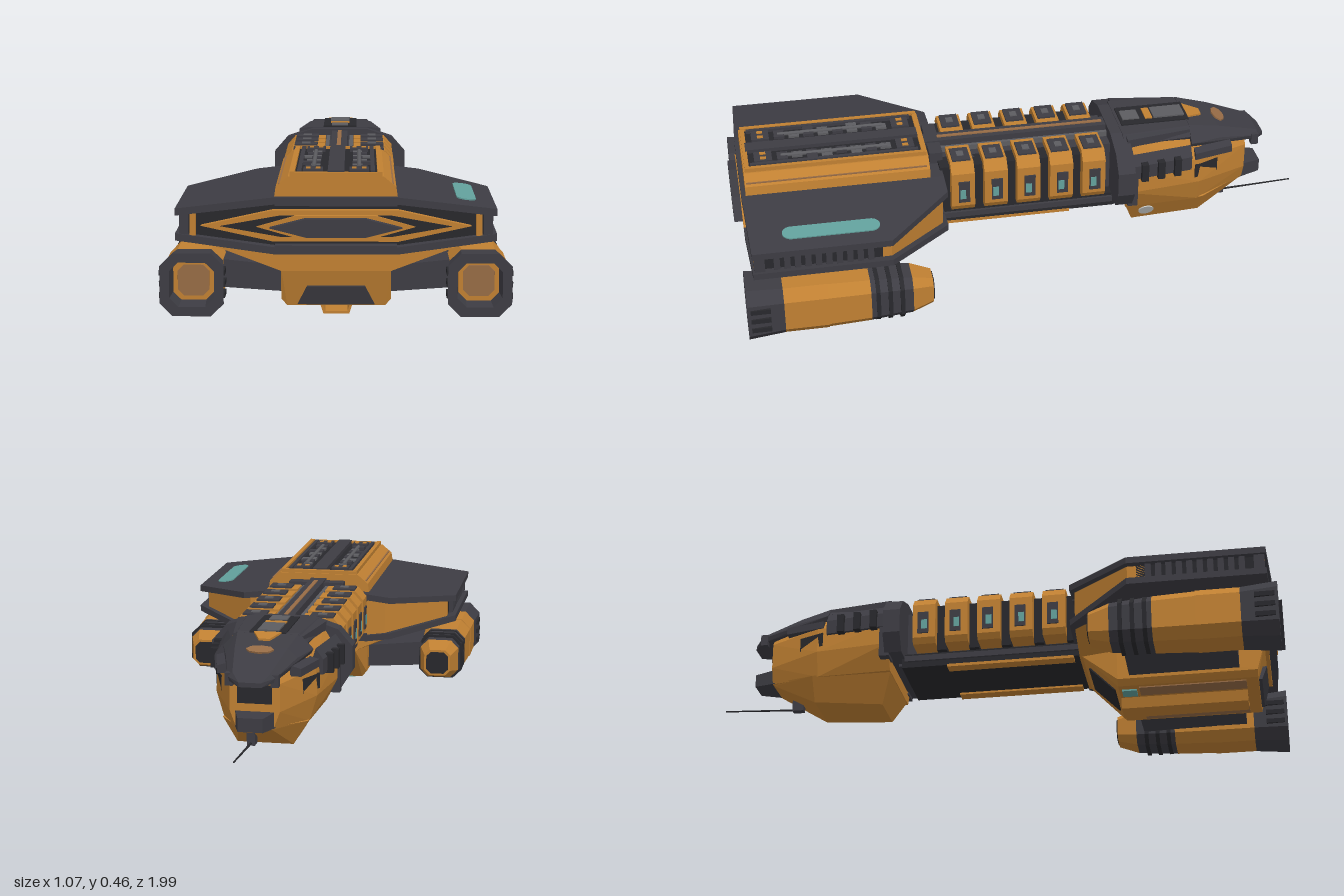
import * as THREE from 'three';
import { ConvexGeometry } from 'three/addons/geometries/ConvexGeometry.js';

const paint = (name, color) => {
  const m = new THREE.MeshStandardMaterial({ color });
  m.name = name;
  return m;
};

export function createModel() {
  const root = new THREE.Group();
  root.name = 'ship';
  const orange = paint('orange', 0xc08032);
  const dark = paint('charcoal', 0x3d3c43);
  const black = paint('black', 0x28282c);
  const grey = paint('grey', 0x5c5c60);
  const rust = paint('rust', 0x966b45);
  const teal = paint('teal', 0x62a09c);
  const white = paint('white', 0xc4c6c4);

  const group = (name, parent = root) => {
    const g = new THREE.Group();
    g.name = name;
    parent.add(g);
    return g;
  };
  const add = (parent, name, geo, mat) => {
    const m = new THREE.Mesh(geo, mat);
    m.name = name;
    parent.add(m);
    return m;
  };
  // box given by its bounds
  const box = (p, name, mat, x0, x1, y0, y1, z0, z1) => {
    const m = add(p, name, new THREE.BoxGeometry(Math.abs(x1 - x0), y1 - y0, Math.abs(z1 - z0)), mat);
    m.position.set((x0 + x1) / 2, (y0 + y1) / 2, (z0 + z1) / 2);
    return m;
  };
  const hull = (p, name, mat, pts) =>
    add(p, name, new ConvexGeometry(pts.map(a => new THREE.Vector3(...a))), mat);
  // convex body from half profiles [z, [[x, y], ...]] mirrored in x
  const body = (p, name, mat, sections) =>
    hull(p, name, mat, sections.flatMap(([z, prof]) => prof.flatMap(([x, y]) => [[x, y, z], [-x, y, z]])));
  const sides = [1, -1];
  const octagon = (r, c = r * 0.4) =>
    [[r, c - r], [r, r - c], [r - c, r], [c - r, r], [-r, r - c], [-r, c - r], [c - r, -r], [r - c, -r]];

  // ---- wide rear section: two thin plates around a core
  const wing = group('rearWing');
  const outline = [[0.185, 0.285], [0.27, 0.285], [0.487, 0.5], [0.487, 0.955], [0.185, 0.965]];
  const upper = x => 0.38 - 0.12 * (x - 0.185);
  const lower = x => 0.205 + 0.135 * (x - 0.185);
  box(wing, 'upperPlateCentre', dark, -0.185, 0.185, 0.353, 0.38, 0.285, 0.965);
  box(wing, 'lowerPlateCentre', dark, -0.185, 0.185, 0.205, 0.232, 0.285, 0.965);
  for (const s of sides) {
    hull(wing, 'upperPlate', dark, outline.flatMap(([x, z]) => [[s * x, upper(x), z], [s * x, upper(x) - 0.022, z]]));
    hull(wing, 'lowerPlate', dark, outline.flatMap(([x, z]) => [[s * x, lower(x), z], [s * x, lower(x) + 0.022, z]]));
    // side vents, corner posts and pillars
    box(wing, 'sideVent', black, s * 0.4, s * 0.455, 0.25, 0.335, 0.53, 0.92);
    for (let i = 0; i < 10; i++)
      box(wing, 'ventRib', dark, s * 0.45, s * 0.47, 0.255, 0.33, 0.56 + i * 0.034, 0.58 + i * 0.034);
    box(wing, 'cornerPost', dark, s * 0.447, s * 0.475, 0.25, 0.335, 0.915, 0.95);
    box(wing, 'pillar', orange, s * 0.425, s * 0.443, 0.25, 0.335, 0.91, 0.95);
  }
  body(wing, 'coreFront', orange, [
    [0.3, [[0.25, 0.225], [0.25, 0.36]]],
    [0.5, [[0.455, 0.25], [0.455, 0.335]]],
    [0.56, [[0.455, 0.25], [0.455, 0.335]]]]);
  body(wing, 'coreRear', black, [0.55, 0.925].map(z => [z, [[0.43, 0.25], [0.43, 0.335], [0.18, 0.22], [0.18, 0.36]]]));
  const hex = (x, x1, h) => [[x, 0.29], [x1, 0.29 + h], [x1, 0.29 - h]];
  body(wing, 'rearFrame', orange, [0.92, 0.95].map(z => [z, hex(0.41, 0.19, 0.048)]));
  body(wing, 'rearRecess', black, [0.945, 0.957].map(z => [z, hex(0.35, 0.17, 0.032)]));
  body(wing, 'rearInnerFrame', orange, [0.95, 0.967].map(z => [z, hex(0.24, 0.12, 0.034)]));
  body(wing, 'rearCore', dark, [0.95, 0.995].map(z => [z, hex(0.2, 0.09, 0.028)]));
  // painted marking on one wing
  const mark = new THREE.Shape();
  mark.absarc(0, 0.13, 0.03, 0, Math.PI);
  mark.absarc(0, -0.13, 0.03, Math.PI, Math.PI * 2);
  const marking = add(wing, 'wingMarking',
    new THREE.ExtrudeGeometry(mark, { depth: 0.004, bevelEnabled: false }).rotateX(-Math.PI / 2), teal);
  marking.position.set(0.4, upper(0.4), 0.69);
  marking.rotation.z = -Math.atan(0.12);

  // ---- raised deck with machinery
  const deck = group('topDeck');
  body(deck, 'deckHousing', orange, [0.33, 0.95].map(z => [z, [[0.188, 0.37], [0.182, 0.41], [0.145, 0.441]]]));
  box(deck, 'deckFloor', black, -0.125, 0.125, 0.43, 0.445, 0.35, 0.935);
  for (const s of sides) {
    box(deck, 'deckRim', orange, s * 0.125, s * 0.14, 0.435, 0.455, 0.34, 0.945);
    box(deck, 'deckStep', rust, s * 0.155, s * 0.175, 0.405, 0.42, 0.34, 0.945);
    box(deck, 'deckEnd', orange, -0.14, 0.14, 0.435, 0.453, 0.64 + s * 0.305, 0.64 + s * 0.29);
    box(deck, 'rail', dark, s * 0.105, s * 0.118, 0.44, 0.456, 0.36, 0.925);
    for (const z of [0.4, 0.88]) {
      box(deck, 'clampBlock', dark, s * 0.04, s * 0.1, 0.44, 0.457, z - 0.03, z + 0.03);
      for (const d of [-0.015, 0.015])
        box(deck, 'clampStud', orange, s * 0.07 + d - 0.007, s * 0.07 + d + 0.007, 0.455, 0.46, z - 0.01, z + 0.01);
    }
    for (let i = 0; i < 8; i++) {
      const z = 0.465 + i * 0.05;
      box(deck, 'machineBlock', i % 2 ? dark : grey, s * 0.05, s * (0.08 + 0.015 * (i % 3)), 0.44, 0.452 + 0.003 * (i % 2), z - 0.018, z + 0.018);
    }
    const pipe = add(deck, 'deckPipe', new THREE.CylinderGeometry(0.007, 0.007, 0.36, 8).rotateX(Math.PI / 2), grey);
    pipe.position.set(s * 0.07, 0.453, 0.64);
  }
  box(deck, 'deckSpine', dark, -0.025, 0.025, 0.44, 0.458, 0.35, 0.935);

  // ---- belly
  const belly = group('belly');
  body(belly, 'bellyShoulder', orange, [
    [0.3, [[0.25, 0.215], [0.13, 0.16]]],
    [0.5, [[0.36, 0.223], [0.168, 0.15]]],
    [0.94, [[0.36, 0.223], [0.168, 0.15]]]]);
  body(belly, 'bellyHull', orange, [
    [0.31, [[0.14, 0.16]]],
    [0.43, [[0.168, 0.16], [0.165, 0.055], [0.148, 0.035]]],
    [0.9, [[0.168, 0.055], [0.15, 0.035]]],
    [0.93, [[0.168, 0.16]]]]);
  hull(belly, 'rearHatch', dark, [[0.088, 0.1, 0.93], [-0.088, 0.1, 0.93], [0.118, 0.04, 0.912], [-0.118, 0.04, 0.912], [0.088, 0.1, 0.85], [-0.088, 0.1, 0.85], [0.118, 0.04, 0.85], [-0.118, 0.04, 0.85]]);
  body(belly, 'frontPanel', black, [[0.325, [[0.09, 0.137]]], [0.41, [[0.09, 0.05]]], [0.345, [[0.09, 0.14]]], [0.43, [[0.09, 0.053]]]]);
  for (const s of sides) box(belly, 'bellyPanel', rust, s * 0.07, s * 0.135, 0.031, 0.036, 0.5, 0.86);
  box(belly, 'bellyMark', teal, -0.12, -0.07, 0.029, 0.036, 0.44, 0.49);
  const skid = new THREE.Shape([[-0.052, 0.036], [-0.04, 0], [0.04, 0], [0.052, 0.036]].map(a => new THREE.Vector2(...a)));
  skid.holes.push(new THREE.Path([[-0.042, 0.03], [-0.034, 0.008], [0.034, 0.008], [0.042, 0.03]].map(a => new THREE.Vector2(...a))));
  add(belly, 'skid', new THREE.ExtrudeGeometry(skid, { depth: 0.43, bevelEnabled: false }), orange).position.z = 0.43;

  // ---- engine pods
  for (const s of sides) {
    const pod = group(s > 0 ? 'leftEngine' : 'rightEngine');
    pod.position.set(s * 0.436, 0.115, 0);
    const tube = (name, mat, z0, r0, z1, r1) =>
      hull(pod, name, mat, [...octagon(r0).map(a => [...a, z0]), ...octagon(r1).map(a => [...a, z1])]);
    const ring = new THREE.Shape(octagon(0.097).map(a => new THREE.Vector2(...a)));
    ring.holes.push(new THREE.Path(octagon(0.068).map(a => new THREE.Vector2(...a))));
    const nozzle = new THREE.ExtrudeGeometry(ring, { depth: 0.12, bevelEnabled: false });
    const pos = nozzle.attributes.position;
    for (let i = 0; i < pos.count; i++) {
      const k = 0.9 + 0.1 * pos.getZ(i) / 0.12;
      pos.setXY(i, pos.getX(i) * k, pos.getY(i) * k);
    }
    nozzle.computeVertexNormals();
    add(pod, 'nozzle', nozzle, dark).position.z = 0.865;
    tube('nozzleGlow', orange, 0.87, 0.064, 0.91, 0.062);
    tube('nozzleCore', rust, 0.9, 0.05, 0.914, 0.048);
    tube('podRear', orange, 0.72, 0.087, 0.87, 0.087);
    tube('podMiddle', orange, 0.58, 0.08, 0.72, 0.085);
    tube('podCollar', dark, 0.44, 0.07, 0.585, 0.08);
    tube('podNose', orange, 0.37, 0.048, 0.44, 0.07);
    tube('podIntake', black, 0.366, 0.04, 0.372, 0.04);
    for (const z of [0.47, 0.51, 0.55]) tube('collarRib', black, z, 0.08, z + 0.014, 0.08);
    for (const t of sides) for (const y of [-0.035, 0, 0.035])
      box(pod, 'nozzleRib', black, t * 0.085, t * 0.1, y - 0.008, y + 0.008, 0.91, 0.975);
    // strut to the belly
    hull(root, 'engineStrut', dark, [0.47, 0.84].flatMap(z =>
      [[s * 0.15, 0.145, z], [s * 0.15, 0.065, z], [s * 0.365, 0.168, z], [s * 0.365, 0.08, z]]));
  }

  // ---- neck with five pairs of cargo modules
  const neck = group('neck');
  box(neck, 'neckCore', dark, -0.1, 0.1, 0.19, 0.39, -0.34, 0.32);
  box(neck, 'neckKeel', black, -0.14, 0.14, 0.165, 0.215, -0.32, 0.31);
  box(neck, 'neckSpine', dark, -0.028, 0.028, 0.38, 0.425, -0.34, 0.33);
  box(neck, 'spineStripe', rust, -0.007, 0.007, 0.42, 0.428, -0.3, 0.28);
  box(neck, 'rearCollar', dark, -0.1, 0.1, 0.2, 0.42, 0.275, 0.32);
  for (const s of sides) {
    box(neck, 'neckPipe', grey, s * 0.035, s * 0.048, 0.38, 0.408, -0.32, 0.3);
    box(neck, 'lowerRail', dark, s * 0.13, s * 0.15, 0.185, 0.205, -0.31, 0.3);
    box(neck, 'keelTrim', orange, s * 0.1, s * 0.142, 0.158, 0.168, -0.16, 0.28);
    for (let i = 0; i < 5; i++) {
      const z = -0.235 + i * 0.1135;
      const m = group('module', neck);
      hull(m, 'moduleShell', orange, [-0.04, 0.04].flatMap(d =>
        [[0.05, 0.235], [0.175, 0.235], [0.188, 0.255], [0.188, 0.38], [0.16, 0.412], [0.05, 0.412]].map(([x, y]) => [s * x, y, z + d])));
      box(m, 'moduleLid', dark, s * 0.075, s * 0.155, 0.41, 0.418, z - 0.031, z + 0.031);
      box(m, 'moduleLatch', grey, s * 0.1, s * 0.13, 0.417, 0.421, z - 0.012, z + 0.012);
      box(m, 'moduleDoor', dark, s * 0.185, s * 0.193, 0.27, 0.35, z - 0.022, z + 0.016);
      box(m, 'moduleScreen', teal, s * 0.19, s * 0.195, 0.285, 0.32, z - 0.008, z + 0.012);
      box(m, 'moduleFrame', black, s * 0.08, s * 0.15, 0.22, 0.39, z + 0.04, z + 0.0735);
    }
  }

  // ---- head
  const head = group('head');
  body(head, 'headBulkhead', dark, [-0.37, -0.31].map(z => [z, [[0.2, 0.2], [0.238, 0.26], [0.238, 0.345], [0.19, 0.4], [0.1, 0.43]]]));
  body(head, 'headHull', orange, [
    [-0.36, [[0.15, 0.155], [0.195, 0.24], [0.195, 0.32], [0.14, 0.41]]],
    [-0.62, [[0.14, 0.155], [0.165, 0.24], [0.16, 0.33], [0.1, 0.41]]],
    [-0.805, [[0.06, 0.175], [0.08, 0.23], [0.08, 0.32], [0.06, 0.35]]]]);
  body(head, 'headRoof', dark, [
    [-0.35, [[0.12, 0.432], [0.14, 0.4], [0.1, 0.35]]],
    [-0.6, [[0.1, 0.432], [0.125, 0.4], [0.1, 0.35]]]]);
  body(head, 'visor', dark, [
    [-0.59, [[0.1, 0.434], [0.148, 0.385], [0.14, 0.37]]],
    [-0.7, [[0.085, 0.41], [0.115, 0.38], [0.11, 0.365]]],
    [-0.85, [[0.06, 0.365], [0.075, 0.35], [0.07, 0.335]]],
    [-0.88, [[0.035, 0.34], [0.035, 0.325]]]]);
  box(head, 'roofChannel', black, -0.06, 0.06, 0.428, 0.436, -0.6, -0.36);
  box(head, 'roofMachine', grey, -0.035, 0.035, 0.43, 0.441, -0.59, -0.48);
  box(head, 'roofStripe', orange, -0.035, 0.035, 0.43, 0.44, -0.475, -0.45);
  box(head, 'roofBlock', grey, -0.03, 0.03, 0.43, 0.44, -0.43, -0.37);
  body(head, 'roofChevron', orange, [[-0.6, [[0.045, 0.432], [0.045, 0.438]]], [-0.655, [[0.018, 0.42], [0.018, 0.427]]]]);
  const badge = add(head, 'visorPanel', new THREE.CylinderGeometry(0.045, 0.045, 0.006, 8), rust);
  badge.scale.z = 0.5;
  badge.position.set(0, 0.407, -0.72);
  badge.rotation.x = -0.28;
  for (const s of sides) {
    // upper side armour with gaps showing the hull
    hull(head, 'sideArmour', dark, [[-0.36, 0.208], [-0.585, 0.178]].flatMap(([z, x]) =>
      [[s * x, 0.3, z], [s * x, 0.35, z], [s * (x - 0.025), 0.385, z], [s * (x - 0.05), 0.3, z]]));
    for (const z of [-0.41, -0.47, -0.53])
      box(head, 'armourRib', black, s * 0.15, s * (0.225 + (z + 0.36) * 0.13), 0.295, 0.36, z - 0.012, z + 0.012);
    hull(head, 'sideStripe', dark, [[-0.36, 0.15], [-0.59, 0.115]].flatMap(([z, x]) =>
      [[s * x, 0.425, z], [s * (x - 0.04), 0.432, z], [s * x, 0.38, z], [s * (x - 0.04), 0.38, z]]));
    hull(head, 'cheekFin', dark, [[-0.6, 0.168], [-0.74, 0.135]].flatMap(([z, x]) =>
      [[s * x, 0.33, z], [s * x, 0.355, z], [s * (x - 0.035), 0.33, z], [s * (x - 0.035), 0.365, z]]));
    hull(head, 'sideWindow', black, [[-0.6, 0.17], [-0.69, 0.133]].flatMap(([z, x]) =>
      [[s * x, 0.26, z], [s * x, 0.31, z], [s * (x - 0.02), 0.26, z], [s * (x - 0.02), 0.31, z]]));
    box(head, 'noseClaw', dark, s * 0.06, s * 0.085, 0.32, 0.36, -0.85, -0.825);
    box(head, 'lowerSideBlock', dark, s * 0.14, s * 0.2, 0.19, 0.3, -0.39, -0.355);
  }
  box(head, 'windscreen', black, -0.055, 0.055, 0.255, 0.315, -0.81, -0.8);
  body(head, 'noseBlock', dark, [[-0.78, [[0.07, 0.175], [0.07, 0.23]]], [-0.875, [[0.04, 0.18], [0.04, 0.225]]]]);
  body(head, 'chin', orange, [
    [-0.36, [[0.14, 0.16]]],
    [-0.4, [[0.08, 0.06]]],
    [-0.64, [[0.14, 0.16], [0.092, 0.08]]],
    [-0.8, [[0.06, 0.18], [0.055, 0.17]]]]);
  const disc = add(head, 'chinDisc', new THREE.CylinderGeometry(0.027, 0.027, 0.008, 20), white);
  disc.position.set(0.11, 0.11, -0.445);
  disc.rotation.z = -2.11;
  const antenna = add(head, 'antenna', new THREE.CylinderGeometry(0.0025, 0.004, 0.28, 6).rotateX(-Math.PI / 2), black);
  antenna.position.set(0.025, 0.113, -0.86);
  antenna.rotation.x = 0.05;
  box(head, 'antennaMount', dark, 0.012, 0.038, 0.1, 0.16, -0.75, -0.71);
  return root;
}
